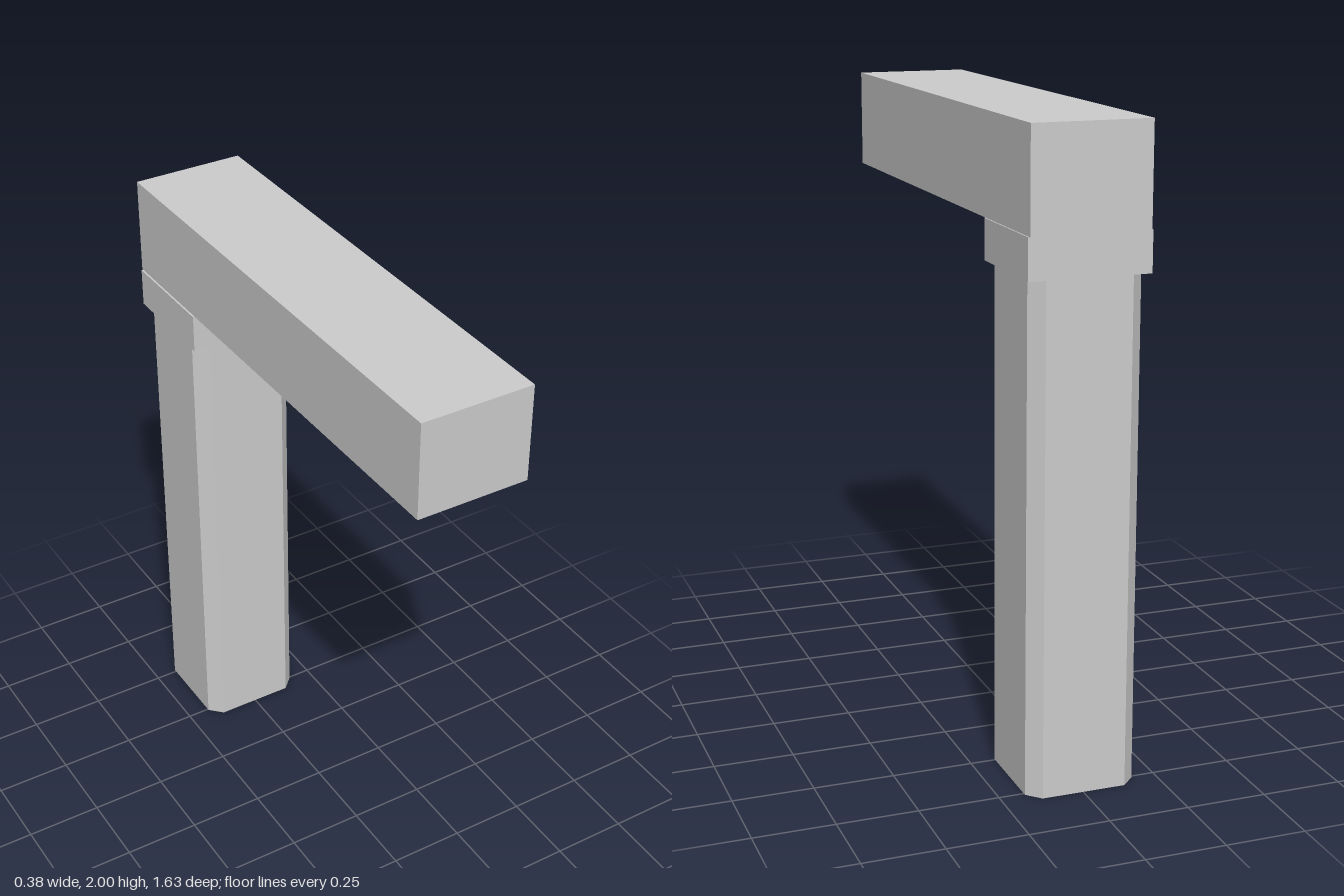
import * as THREE from 'three';

export function createModel() {
  const model = new THREE.Group();
  const grey = new THREE.MeshStandardMaterial({ color: 0xcccccc });
  grey.name = 'plain grey';

  const add = (name, geometry, x, y, z) => {
    const mesh = new THREE.Mesh(geometry, grey);
    mesh.name = name;
    mesh.position.set(x, y, z);
    model.add(mesh);
  };

  // Long beam reaching forward over the post
  add('beam', new THREE.BoxGeometry(0.366, 0.312, 1.626), 0, 1.844, 0.002);

  // Slightly wider collar under the rear of the beam
  add('collar', new THREE.BoxGeometry(0.376, 0.125, 0.354), -0.001, 1.6255, -0.628);

  // Square post with four chamfered corners
  const half = 0.173, flat = 0.132;
  const section = new THREE.Shape([
    [half, -flat], [half, flat], [flat, half], [-flat, half],
    [-half, flat], [-half, -flat], [-flat, -half], [flat, -half],
  ].map(([x, y]) => new THREE.Vector2(x, y)));
  const post = new THREE.ExtrudeGeometry(section, { depth: 1.563, bevelEnabled: false });
  post.rotateX(-Math.PI / 2);
  add('post', post, -0.002, 0, -0.627);

  return model;
}
